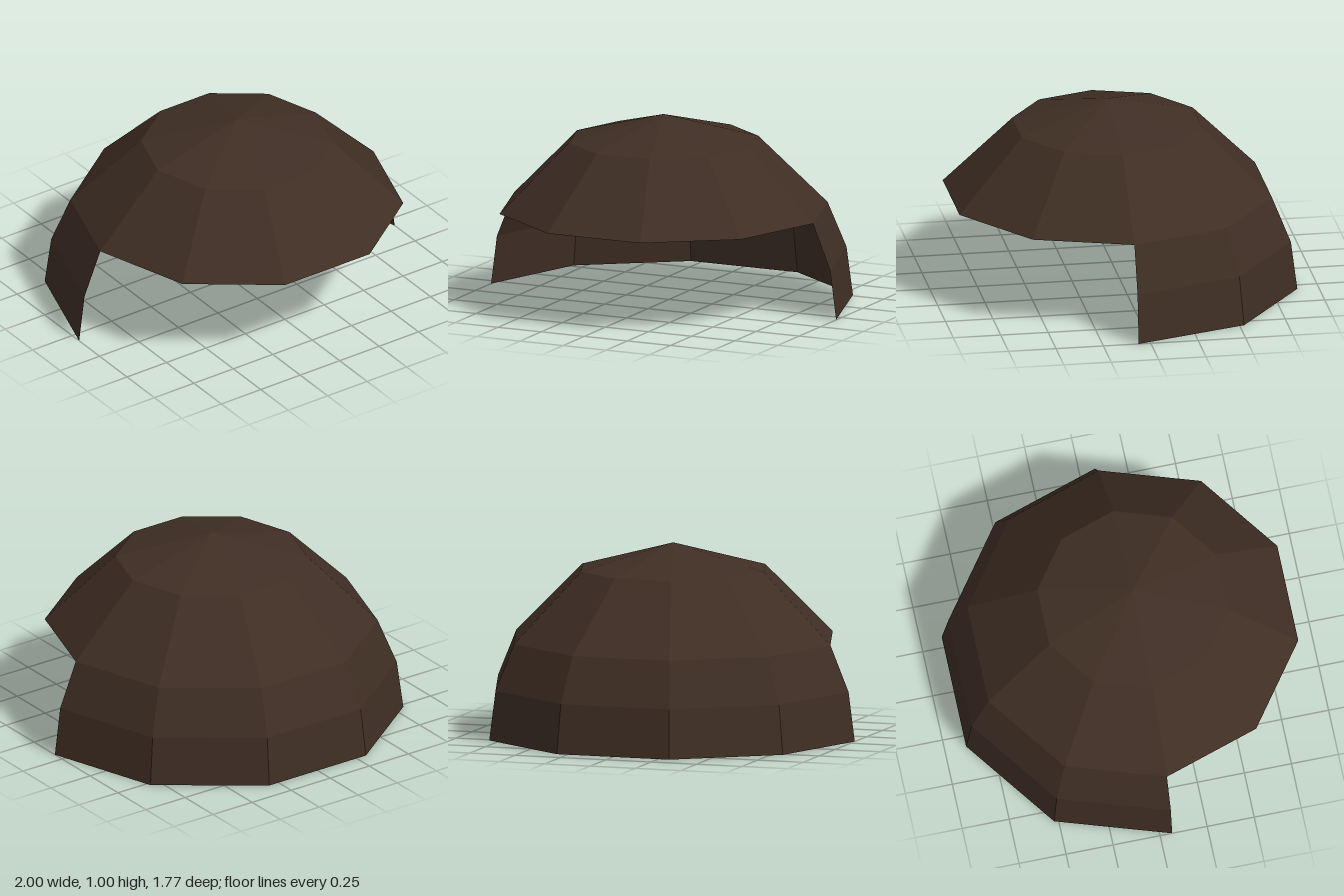
import * as THREE from 'three';

export function createModel() {
  const group = new THREE.Group();
  group.name = 'hairCap';

  const brown = new THREE.MeshStandardMaterial({ color: 0x3f2e24, flatShading: true, side: THREE.DoubleSide });
  brown.name = 'darkBrown';

  // A faceted band of the unit dome, standing on y = 0
  const addBand = (name, sides, rings, phiStart, phiLength, thetaStart, thetaLength) => {
    const mesh = new THREE.Mesh(
      new THREE.SphereGeometry(1, sides, rings, phiStart, phiLength, thetaStart, thetaLength),
      brown
    );
    mesh.name = name;
    mesh.position.z = 0.064;
    group.add(mesh);
  };

  // Full ten-sided crown
  addBand('crown', 10, 2, 0, Math.PI * 2, 0, Math.PI / 3);
  // Lower band around the back half only, leaving the face open
  addBand('backHair', 5, 1, Math.PI, Math.PI, Math.PI / 3, Math.PI / 6);

  return group;
}
